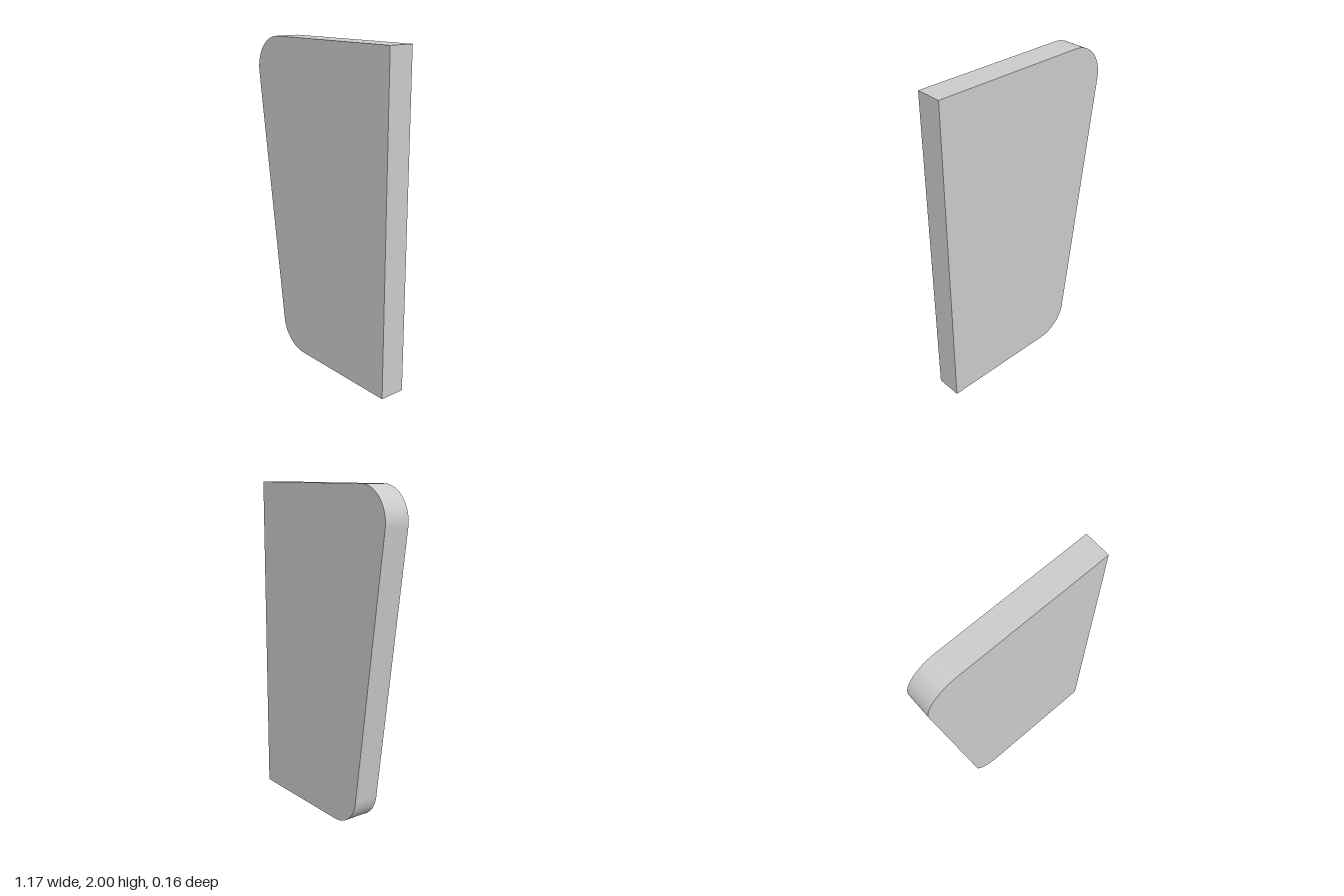
import * as THREE from 'three';
import { toCreasedNormals } from 'three/addons/utils/BufferGeometryUtils.js';

export function createModel() {
  const height = 2, thickness = 0.16, rightEdge = 0.585, radius = 0.2;
  const topCentre = new THREE.Vector2(-0.385, height - radius);
  const bottomCentre = new THREE.Vector2(-0.163, radius);

  // Direction in which the slanted edge faces, parallel to the line of corner centres
  const lean = Math.atan2(bottomCentre.x - topCentre.x, topCentre.y - bottomCentre.y);
  const slantAngle = Math.PI + lean;

  // Outline: straight upright edge, slanted edge with two rounded corners
  const outline = new THREE.Shape();
  outline.moveTo(rightEdge, 0);
  outline.lineTo(rightEdge, height);
  outline.lineTo(topCentre.x, height);
  outline.absarc(topCentre.x, topCentre.y, radius, Math.PI / 2, slantAngle, false);
  outline.absarc(bottomCentre.x, bottomCentre.y, radius, slantAngle, Math.PI * 1.5, false);
  outline.closePath();

  // Flat panel of even thickness, smooth only around the rounded corners
  const geometry = new THREE.ExtrudeGeometry(outline, {
    depth: thickness, bevelEnabled: false, curveSegments: 24,
  });
  geometry.translate(0, 0, -thickness / 2);
  const panel = new THREE.Mesh(
    toCreasedNormals(geometry, Math.PI / 6),
    new THREE.MeshStandardMaterial({ color: 0xcccccc }),
  );
  panel.name = 'panel';

  const model = new THREE.Group();
  model.name = 'taperedPanel';
  model.add(panel);
  return model;
}
